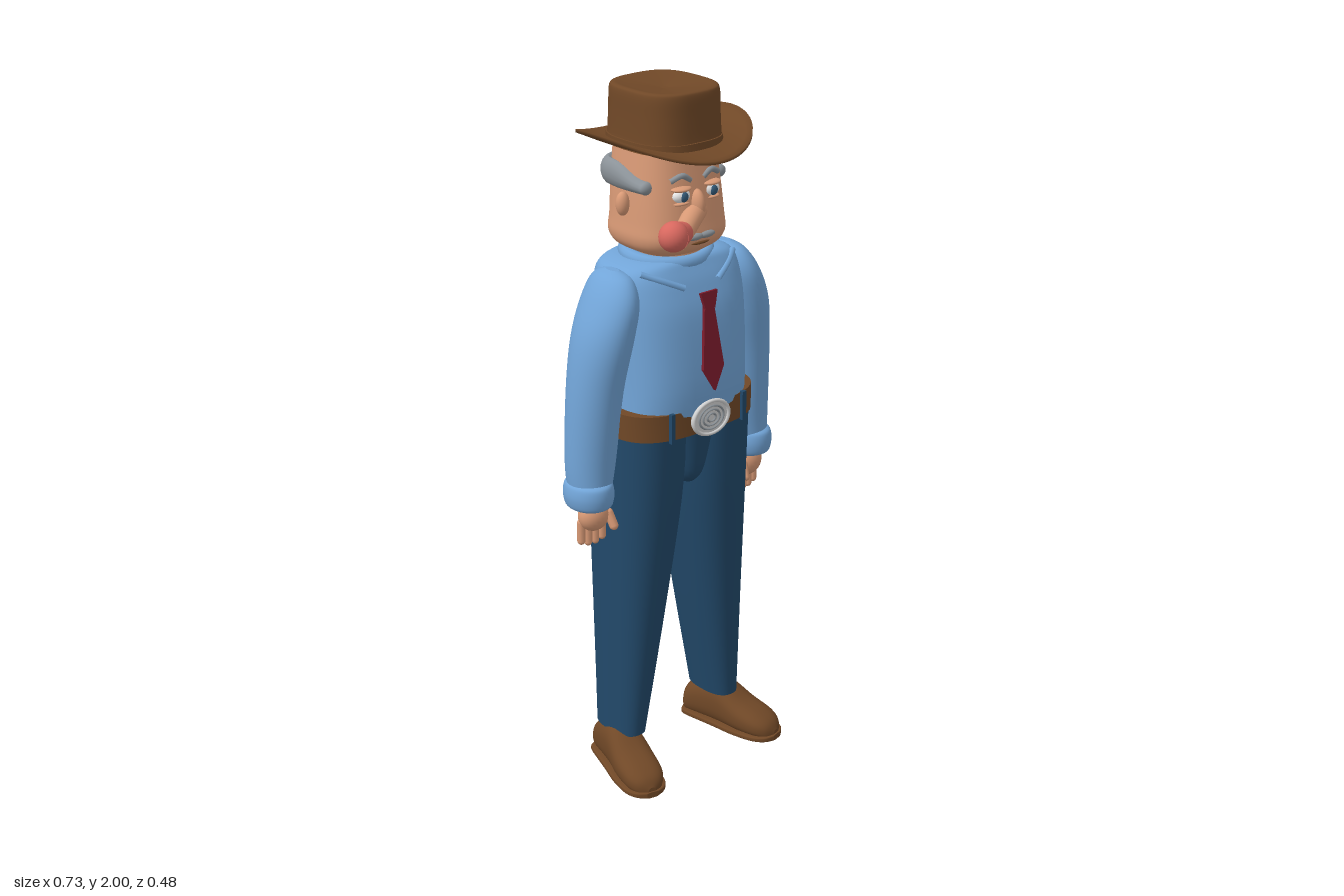
import * as THREE from 'three';
import { mergeVertices } from 'three/addons/utils/BufferGeometryUtils.js';

const mat = (name, color) => new THREE.MeshStandardMaterial({ name, color });

export function createModel() {
  const M = {
    brown: mat('brown leather', 0x704827), shirt: mat('shirt blue', 0x72a5d8),
    denim: mat('denim', 0x22496a), skin: mat('skin', 0xd99a76),
    red: mat('nose red', 0xd8685f), tie: mat('tie red', 0x7c1c2c),
    grey: mat('hair grey', 0x8b9298), silver: mat('silver', 0xd2d2d2),
    white: mat('eye white', 0xeeeeee), iris: mat('iris blue', 0x345a78),
  };
  const root = new THREE.Group();
  const add = (name, geo, material, parent = root) => {
    const m = new THREE.Mesh(geo, material);
    m.name = name;
    parent.add(m);
    return m;
  };

  // Smooth loft through rows [y, cx, cz, rx, rz] with superellipse sections and flat caps
  function loft(rows, n = 2, steps = 5, seg = 40) {
    const pos = [], idx = [], rings = [];
    const cat = (a, b, c, d, t) => b + 0.5 * t * (c - a + t * (2 * a - 5 * b + 4 * c - d + t * (3 * (b - c) + d - a)));
    const at = i => rows[Math.min(Math.max(i, 0), rows.length - 1)];
    for (let i = 0; i < rows.length - 1; i++)
      for (let s = 0; s < steps; s++)
        rings.push(rows[0].map((_, k) => cat(at(i - 1)[k], at(i)[k], at(i + 1)[k], at(i + 2)[k], s / steps)));
    rings.push(at(rows.length));
    const pw = v => Math.sign(v) * Math.abs(v) ** (2 / n);
    const ring = ([y, cx, cz, rx, rz]) => {
      const start = pos.length / 3;
      for (let j = 0; j < seg; j++) {
        const a = j / seg * Math.PI * 2;
        pos.push(cx + rx * pw(Math.cos(a)), y, cz + rz * pw(Math.sin(a)));
      }
      return start;
    };
    rings.forEach(ring);
    for (let i = 0; i < rings.length - 1; i++)
      for (let j = 0; j < seg; j++) {
        const k = (j + 1) % seg, a = i * seg, b = a + seg;
        idx.push(a + j, b + j, b + k, a + j, b + k, a + k);
      }
    [rings[0], rings[rings.length - 1]].forEach((r, top) => {
      const s = ring(r), c = pos.length / 3;
      pos.push(r[1], r[0], r[2]);
      for (let j = 0; j < seg; j++) {
        const k = (j + 1) % seg;
        top ? idx.push(c, s + k, s + j) : idx.push(c, s + j, s + k);
      }
    });
    const g = new THREE.BufferGeometry();
    g.setAttribute('position', new THREE.Float32BufferAttribute(pos, 3));
    g.setIndex(idx);
    g.computeVertexNormals();
    return g;
  }
  const ball = (x, y, z, rx, ry, rz) => new THREE.SphereGeometry(1, 24, 16).scale(rx, ry, rz).translate(x, y, z);
  const V = (x, y, z) => new THREE.Vector3(x, y, z);
  // Tapered rod between two points
  function rod(a, b, ra, rb) {
    const d = b.clone().sub(a);
    const g = new THREE.CylinderGeometry(rb, ra, d.length(), 24);
    g.applyQuaternion(new THREE.Quaternion().setFromUnitVectors(V(0, 1, 0), d.clone().normalize()));
    const c = a.clone().add(b).multiplyScalar(0.5);
    return g.translate(c.x, c.y, c.z);
  }
  const tube = (pts, r) => new THREE.TubeGeometry(new THREE.CatmullRomCurve3(pts), 24, r, 8);

  // Hat: rounded square crown with a shallow dent, and a brim raised at the sides
  const hat = new THREE.Group();
  hat.name = 'hat';
  root.add(hat);
  add('hatCrown', loft([[1.84, 0, -0.01, 0.137, 0.148], [1.87, 0, -0.01, 0.132, 0.143],
    [1.93, 0, -0.01, 0.129, 0.14], [1.985, 0, -0.01, 0.127, 0.138], [1.999, 0, -0.01, 0.118, 0.129],
    [1.996, 0, -0.01, 0.09, 0.1], [1.985, 0, -0.01, 0.01, 0.01]], 2.9), M.brown, hat);
  add('hatBand', loft([[1.845, 0, -0.01, 0.139, 0.15], [1.866, 0, -0.01, 0.138, 0.149]], 2.7, 2), M.brown, hat);
  const profile = [];
  for (let i = 0; i <= 8; i++) profile.push(new THREE.Vector2(0.4 + 0.6 * i / 8, 0));
  for (let i = 8; i >= 0; i--) profile.push(new THREE.Vector2(0.4 + 0.6 * i / 8, 0.009));
  let brim = new THREE.LatheGeometry(profile, 64);
  brim.deleteAttribute('normal');
  brim.deleteAttribute('uv');
  brim = mergeVertices(brim);
  const bp = brim.attributes.position;
  for (let i = 0; i < bp.count; i++) {
    const x = bp.getX(i), y = bp.getY(i), z = bp.getZ(i), r = Math.hypot(x, z), t = (r - 0.4) / 0.6;
    const side = (x / r) ** 2;
    bp.setXYZ(i, x * 0.24, 1.845 + y + side * 0.047 * t * t - (1 - side) * 0.018 * t, z * 0.23 - 0.01);
  }
  brim.computeVertexNormals();
  add('hatBrim', brim, M.brown, hat);

  // Head
  const head = new THREE.Group();
  head.name = 'head';
  root.add(head);
  add('skull', loft([[1.555, 0, 0, 0.1, 0.1], [1.575, 0, 0, 0.135, 0.127], [1.605, 0, 0, 0.148, 0.142],
    [1.65, 0, 0, 0.145, 0.138], [1.74, 0, -0.005, 0.138, 0.132], [1.86, 0, -0.012, 0.125, 0.122]], 2.7), M.skin, head);
  add('neck', loft([[1.48, 0, 0, 0.1, 0.095], [1.58, 0, 0, 0.1, 0.095]], 2, 2), M.skin, head);
  // Long nose bent to one side
  add('noseBridge', ball(-0.005, 1.695, 0.125, 0.022, 0.045, 0.03), M.skin, head);
  add('nose', rod(V(0.005, 1.678, 0.115), V(-0.105, 1.652, 0.188), 0.03, 0.027), M.skin, head);
  add('noseTipBase', rod(V(-0.098, 1.653, 0.183), V(-0.142, 1.654, 0.199), 0.028, 0.039), M.red, head);
  add('noseTip', ball(-0.148, 1.655, 0.2, 0.042, 0.041, 0.039), M.red, head);
  for (const s of [1, -1]) {
    add('eye', ball(s * 0.052, 1.727, 0.116, 0.029, 0.02, 0.02), M.white, head);
    add('iris', ball(s * 0.052, 1.726, 0.131, 0.013, 0.014, 0.008), M.iris, head);
    add('eyelid', ball(s * 0.052, 1.746, 0.117, 0.032, 0.008, 0.024), M.skin, head);
    add('lowerLid', ball(s * 0.052, 1.707, 0.117, 0.029, 0.006, 0.018), M.skin, head);
    add('eyebrow', tube([V(s * 0.022, 1.765, 0.12), V(s * 0.05, 1.781, 0.12), V(s * 0.084, 1.768, 0.11)], 0.008), M.grey, head);
    add('ear', ball(s * 0.152, 1.698, -0.002, 0.02, 0.033, 0.018), M.skin, head);
    add('moustache', ball(s * 0.02, 1.613, 0.139, 0.029, 0.01, 0.012).rotateZ(0), M.grey, head);
  }
  add('mouth', ball(0, 1.593, 0.136, 0.033, 0.005, 0.008), M.brown, head);
  // Hair band round the back, tapering to the temples
  const half = [[0.128, 0.066], [0.132, 0.02], [0.13, -0.05], [0.115, -0.105], [0.06, -0.13]];
  const path = [...half.map(p => V(p[0], 0, p[1])), ...half.slice().reverse().map(p => V(-p[0], 0, p[1]))];
  const hair = new THREE.TubeGeometry(new THREE.CatmullRomCurve3(path), 60, 0.022, 14);
  const hp = hair.attributes.position;
  for (let i = 0; i < hp.count; i++) {
    const t = THREE.MathUtils.smoothstep(hp.getZ(i), -0.06, 0.07);
    hp.setY(i, 1.765 + hp.getY(i) * (1.65 - 0.85 * t) - 0.015 * t);
  }
  hair.computeVertexNormals();
  add('hair', hair, M.grey, head);
  for (const s of [1, -1]) add('hairEnd', ball(s * 0.128, 1.75, 0.066, 0.022, 0.018, 0.014), M.grey, head);

  // Shirt
  add('shirtBody', loft([[1.07, 0, 0.012, 0.203, 0.163], [1.2, 0, 0.02, 0.2, 0.165], [1.38, 0, 0.012, 0.205, 0.157],
    [1.47, 0, 0.002, 0.207, 0.142], [1.52, 0, -0.004, 0.195, 0.125], [1.54, 0, -0.004, 0.15, 0.112],
    [1.545, 0, 0, 0.1, 0.09]], 2.9), M.shirt);
  const ringGeo = (r, y) => new THREE.TorusGeometry(1, r, 12, 40).rotateX(Math.PI / 2)
    .scale(0.118, 0.13, 0.106).rotateX(0.1).translate(0, y, -0.002);
  add('collar', ringGeo(0.17, 1.54), M.shirt);
  add('tieBand', ringGeo(0.13, 1.522), M.tie);
  for (const s of [1, -1])
    add('collarFlap', tube([V(s * 0.165, 1.525, 0.085), V(s * 0.12, 1.505, 0.115), V(s * 0.06, 1.478, 0.142)], 0.009), M.shirt);

  // Tie
  const tieShape = pts => new THREE.ExtrudeGeometry(new THREE.Shape(pts.map(p => new THREE.Vector2(...p))),
    { depth: 0.009, bevelEnabled: false });
  const tie = new THREE.Group();
  tie.name = 'tie';
  tie.position.set(0, 1.43, 0.166);
  tie.rotation.x = -0.12;
  root.add(tie);
  add('tieBlade', tieShape([[-0.016, 0], [-0.037, -0.18], [0, -0.245], [0.037, -0.18], [0.016, 0]]), M.tie, tie);
  add('tieKnot', tieShape([[-0.03, 0.033], [-0.017, -0.015], [0.017, -0.015], [0.03, 0.033]]).translate(0, 0, 0.004), M.tie, tie);

  // Belt, loops and buckle
  add('belt', loft([[1.063, 0, 0.012, 0.232, 0.167], [1.138, 0, 0.012, 0.232, 0.167]], 3, 2), M.brown);
  for (const [x, z] of [[0, -0.156], [0.13, -0.15], [-0.13, -0.15], [0.13, 0.174], [-0.13, 0.174]])
    add('beltLoop', new THREE.BoxGeometry(0.014, 0.085, 0.012).translate(x, 1.1, z), M.denim);
  const buckle = new THREE.Group();
  buckle.name = 'buckle';
  buckle.position.set(0, 1.103, 0.18);
  buckle.scale.set(1, 0.76, 1);
  root.add(buckle);
  add('bucklePlate', new THREE.CylinderGeometry(0.066, 0.066, 0.016, 40).rotateX(Math.PI / 2), M.silver, buckle);
  add('buckleRim', new THREE.TorusGeometry(0.063, 0.007, 8, 40).translate(0, 0, 0.006), M.silver, buckle);
  for (const r of [0.015, 0.03, 0.044])
    add('buckleRing', new THREE.TorusGeometry(r, 0.0035, 6, 32).translate(0, 0, 0.008), M.grey, buckle);

  // Trouser seat between the legs
  add('trouserSeat', loft([[0.885, 0, 0, 0.03, 0.11], [0.93, 0, 0, 0.055, 0.138], [1.08, 0, 0.005, 0.09, 0.156]], 2.6), M.denim);

  for (const s of [1, -1]) {
    // Leg
    add('trouserLeg', loft([[0.12, s * 0.18, 0.005, 0.048, 0.085], [0.5, s * 0.147, 0.005, 0.082, 0.113],
      [0.85, s * 0.121, 0.005, 0.108, 0.14], [1.08, s * 0.115, 0.005, 0.115, 0.152]], 2.5), M.denim);

    // Sleeve and rolled cuff
    add('sleeve', loft([[0.9, s * 0.293, 0.015, 0.056, 0.062], [1.0, s * 0.284, 0.01, 0.071, 0.07],
      [1.2, s * 0.27, 0.015, 0.076, 0.082], [1.35, s * 0.246, 0.022, 0.078, 0.096],
      [1.45, s * 0.218, 0.022, 0.066, 0.095], [1.51, s * 0.203, 0.015, 0.042, 0.07],
      [1.53, s * 0.2, 0.01, 0.012, 0.025]]), M.shirt);
    add('cuff', loft([[0.868, s * 0.296, 0.015, 0.052, 0.06], [0.878, s * 0.296, 0.015, 0.062, 0.072],
      [0.907, s * 0.296, 0.015, 0.067, 0.077], [0.935, s * 0.296, 0.015, 0.062, 0.073],
      [0.945, s * 0.295, 0.015, 0.052, 0.06]]), M.shirt);

    // Hand with four fingers and a thumb
    const hand = new THREE.Group();
    hand.name = 'hand';
    root.add(hand);
    add('palm', ball(s * 0.287, 0.84, 0.025, 0.048, 0.047, 0.038), M.skin, hand);
    for (let i = 0; i < 4; i++)
      add('finger', new THREE.CapsuleGeometry(0.0115, 0.055, 4, 10)
        .translate(s * (0.257 + i * 0.022), 0.785 + (i === 0 || i === 3 ? 0.008 : 0), 0.022 - i * 0.003), M.skin, hand);
    add('thumb', new THREE.CapsuleGeometry(0.013, 0.04, 4, 10).rotateX(-0.4).rotateZ(s * -0.15)
      .translate(s * 0.25, 0.825, 0.055), M.skin, hand);

    // Shoe turned outward: sections run from heel to toe
    const shoe = new THREE.Group();
    shoe.name = 'shoe';
    shoe.position.x = s * 0.19;
    shoe.rotation.y = s * 0.24;
    root.add(shoe);
    const plan = [[-0.095, 0.022, 0.05], [-0.08, 0.043, 0.1], [-0.02, 0.05, 0.132], [0.04, 0.055, 0.14],
      [0.11, 0.062, 0.1], [0.175, 0.058, 0.075], [0.21, 0.04, 0.055], [0.226, 0.012, 0.03]];
    add('shoeUpper', loft(plan.map(([z, w, h]) => [z, 0, -h / 2, w, h / 2]), 2.4).rotateX(Math.PI / 2), M.brown, shoe);
    add('shoeSole', loft(plan.map(([z, w]) => [z * 1.02, 0, -0.009, w + 0.006, 0.009]), 5).rotateX(Math.PI / 2), M.brown, shoe);
  }
  return root;
}
